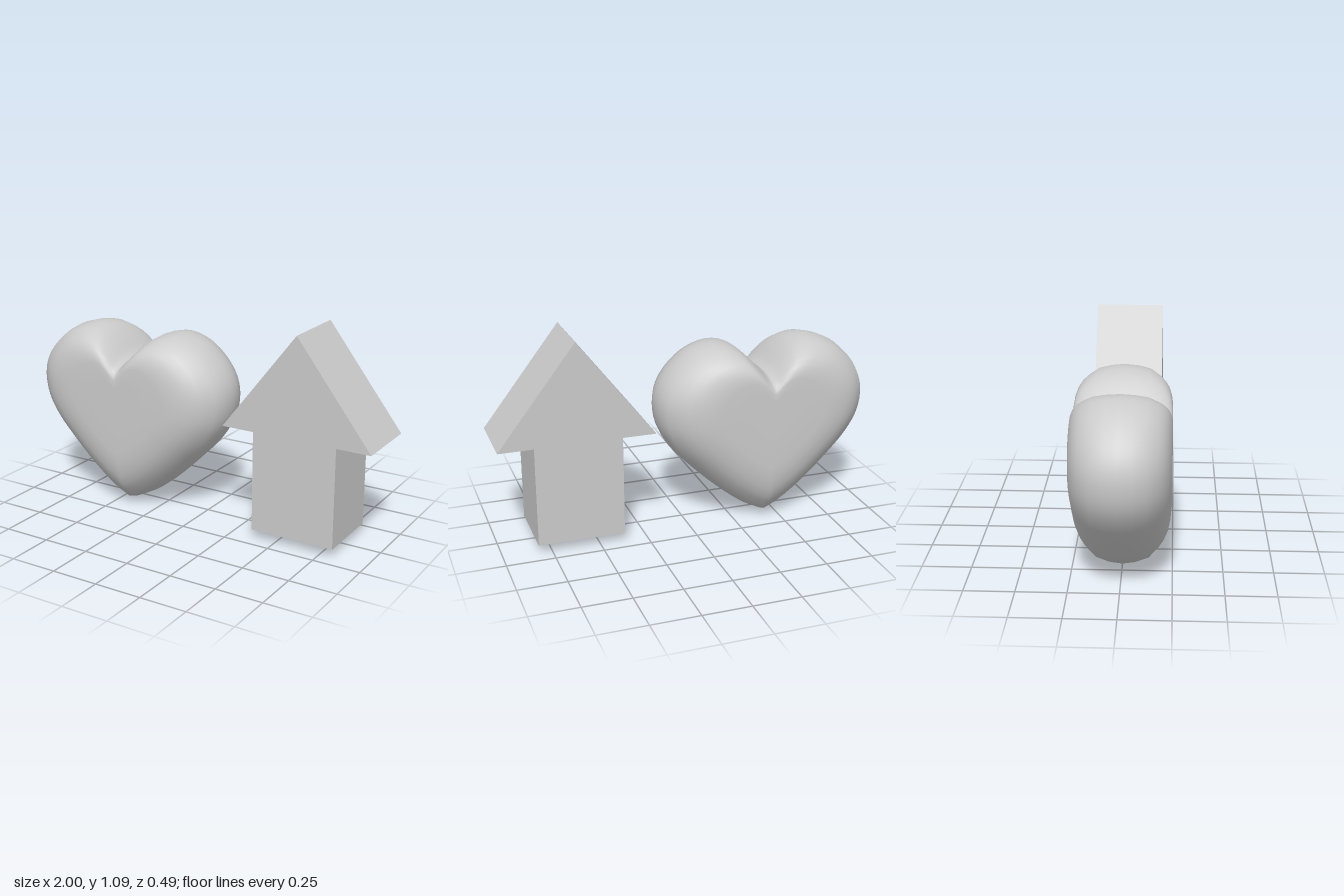
import * as THREE from 'three';

const material = new THREE.MeshStandardMaterial({ color: 0xcccccc });

// Closed clockwise heart outline, mirrored about x = 0
function heartOutline() {
  const half = [
    [0, 0.81], [0.035, 0.835], [0.09, 0.892], [0.16, 0.946], [0.245, 0.965], [0.325, 0.953],
    [0.41, 0.915], [0.5, 0.835], [0.556, 0.745], [0.575, 0.65], [0.556, 0.53], [0.49, 0.415],
    [0.385, 0.3], [0.225, 0.15], [0.09, 0.05], [0, 0.005],
  ].map(([x, y]) => new THREE.Vector3(x, y, 0));
  const right = new THREE.CatmullRomCurve3(half, false, 'centripetal').getPoints(45);
  const left = right.slice(1, -1).reverse().map((p) => new THREE.Vector3(-p.x, p.y, 0));
  return [...right, ...left];
}

// Pillow-shaped heart: the outline shrinks toward its middle as it nears each face
function createHeart() {
  const outline = heartOutline();
  const n = outline.length;
  const middleY = 0.637;
  // [scale, z] from the front face to the widest section
  const front = [
    [0, 0.243], [0.25, 0.243], [0.5, 0.243], [0.61, 0.237], [0.71, 0.225],
    [0.79, 0.205], [0.854, 0.18], [0.945, 0.13], [0.985, 0.065],
  ];
  const back = front.map(([s, z]) => [s, -z]).reverse();
  const rings = [...front, [1, 0], ...back];

  const positions = [];
  const indices = [];
  rings.forEach(([s, z], r) => {
    outline.forEach((p, i) => {
      positions.push(p.x * s, middleY + (p.y - middleY) * s, z);
      if (r === rings.length - 1) return;
      const a = r * n + i;
      const b = r * n + ((i + 1) % n);
      indices.push(a, b, a + n, b, b + n, a + n);
    });
  });
  const geometry = new THREE.BufferGeometry();
  geometry.setAttribute('position', new THREE.Float32BufferAttribute(positions, 3));
  geometry.setIndex(indices);
  geometry.computeVertexNormals();

  const heart = new THREE.Mesh(geometry, material);
  heart.name = 'heart';
  heart.position.x = -0.425;
  return heart;
}

// Upward arrow: a sharp-edged extruded block
function createArrow() {
  const shape = new THREE.Shape([
    [0.37, 0.05], [0.82, 0.05], [0.82, 0.575], [1, 0.575],
    [0.597, 1.095], [0.195, 0.575], [0.37, 0.575],
  ].map(([x, y]) => new THREE.Vector2(x, y)));
  const depth = 0.362;
  const geometry = new THREE.ExtrudeGeometry(shape, { depth, bevelEnabled: false });
  geometry.translate(0, 0, -depth / 2);
  const arrow = new THREE.Mesh(geometry, material);
  arrow.name = 'upArrow';
  return arrow;
}

export function createModel() {
  const model = new THREE.Group();
  model.name = 'heartAndArrow';
  model.add(createHeart(), createArrow());
  return model;
}
